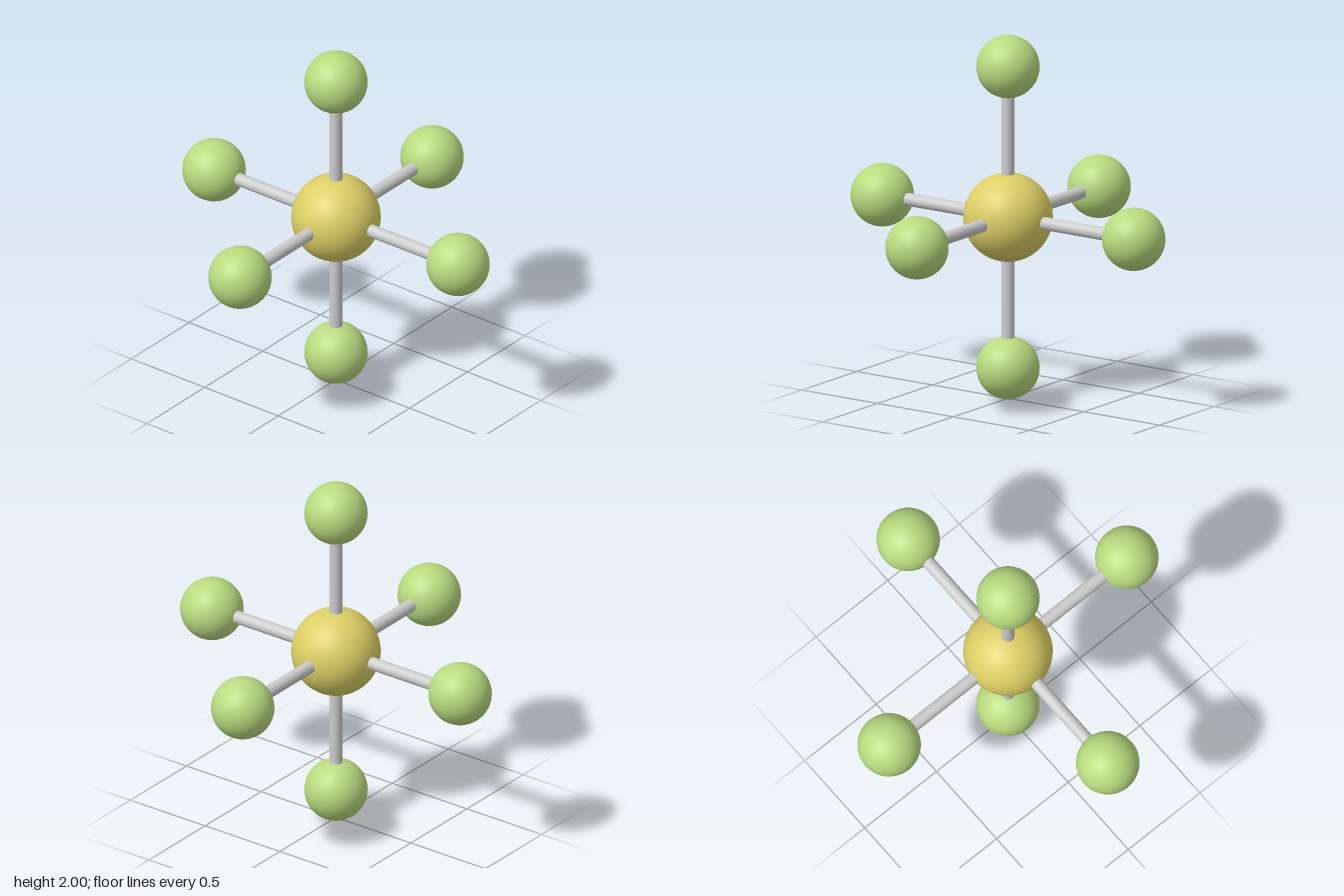
import * as THREE from 'three';

const CENTRE_Y = 1;
const CORE_RADIUS = 0.24;
const BALL_RADIUS = 0.17;
const BALL_DISTANCE = 0.83;
const ROD_RADIUS = 0.035;

function material(name, color) {
  const m = new THREE.MeshStandardMaterial({ color });
  m.name = name;
  return m;
}

export function createModel() {
  const model = new THREE.Group();
  model.name = 'octahedralMolecule';

  const yellow = material('yellow', 0xdccf66);
  const green = material('green', 0xb9da7f);
  const grey = material('grey', 0xcccccc);

  // Central atom
  const core = new THREE.Mesh(new THREE.SphereGeometry(CORE_RADIUS, 48, 32), yellow);
  core.name = 'centralAtom';
  core.position.y = CENTRE_Y;
  model.add(core);

  // One arm along +y: a bond rod running from the core into an outer atom
  const rodGeometry = new THREE.CylinderGeometry(ROD_RADIUS, ROD_RADIUS, BALL_DISTANCE, 24);
  rodGeometry.translate(0, BALL_DISTANCE / 2, 0);
  const ballGeometry = new THREE.SphereGeometry(BALL_RADIUS, 40, 28);
  ballGeometry.translate(0, BALL_DISTANCE, 0);

  // Six arms, one along each axis direction
  const up = new THREE.Vector3(0, 1, 0);
  const directions = {
    top: [0, 1, 0], bottom: [0, -1, 0],
    left: [1, 0, 0], right: [-1, 0, 0],
    front: [0, 0, 1], back: [0, 0, -1],
  };
  for (const [side, direction] of Object.entries(directions)) {
    const arm = new THREE.Group();
    arm.name = `${side}Arm`;
    arm.position.y = CENTRE_Y;
    arm.quaternion.setFromUnitVectors(up, new THREE.Vector3(...direction));

    const rod = new THREE.Mesh(rodGeometry, grey);
    rod.name = `${side}Bond`;
    const ball = new THREE.Mesh(ballGeometry, green);
    ball.name = `${side}Atom`;
    arm.add(rod, ball);
    model.add(arm);
  }

  return model;
}
